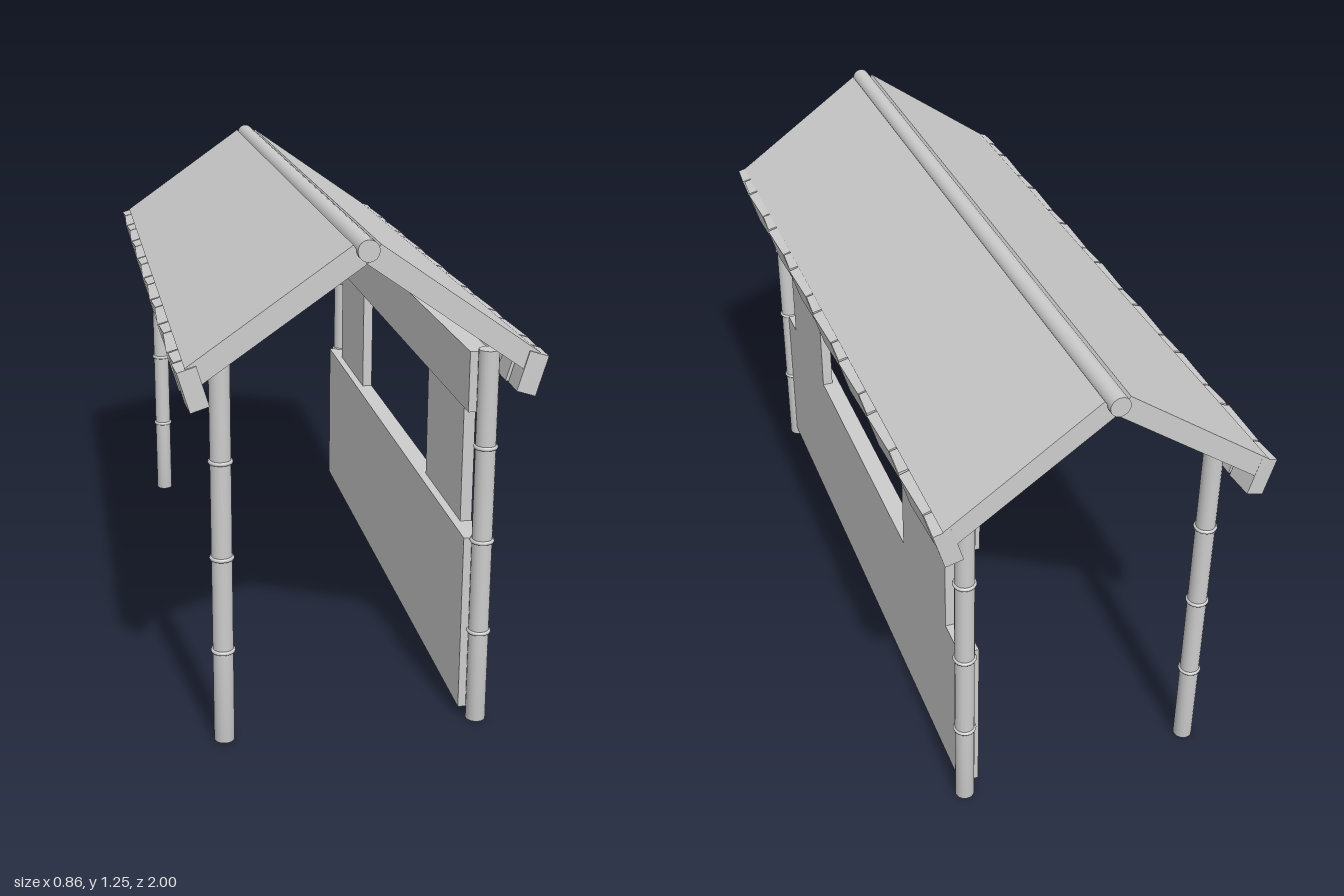
import * as THREE from 'three';

export function createModel() {
  const model = new THREE.Group();
  model.name = 'shelter';
  const grey = new THREE.MeshStandardMaterial({ color: 0xcccccc });
  grey.name = 'plain grey';

  function add(name, geometry, x, y, z, parent = model) {
    const mesh = new THREE.Mesh(geometry, grey);
    mesh.name = name;
    mesh.position.set(x, y, z);
    parent.add(mesh);
    return mesh;
  }
  const box = (name, x0, x1, y0, y1, z0, z1, parent) =>
    add(name, new THREE.BoxGeometry(x1 - x0, y1 - y0, z1 - z0),
      (x0 + x1) / 2, (y0 + y1) / 2, (z0 + z1) / 2, parent);

  // Bamboo posts: rounded foot section, plain shaft and three node rings
  const R = 0.025;
  const foot = new THREE.LatheGeometry(
    [[0, 0], [R, 0], [R, 0.24]].map(p => new THREE.Vector2(...p)), 20);
  const shaft = new THREE.CylinderGeometry(R, R, 0.72, 20);
  const ring = new THREE.TorusGeometry(R, 0.005, 8, 20).rotateX(Math.PI / 2);
  for (const x of [-0.317, 0.317]) {
    for (const z of [-0.877, 0.877]) {
      const post = new THREE.Group();
      post.name = 'post';
      post.position.set(x, 0, z);
      model.add(post);
      add('postFoot', foot, 0, 0, 0, post);
      add('postShaft', shaft, 0, 0.6, 0, post);
      for (const y of [0.24, 0.48, 0.72]) add('postNode', ring, 0, y, 0, post);
    }
  }

  // Side wall: lower panels, window piers and upper band
  const wall = new THREE.Group();
  wall.name = 'sideWall';
  model.add(wall);
  const inner = 0.275, outer = 0.325;
  box('upperBand', inner, outer, 0.803, 0.952, -0.865, 0.865, wall);
  for (const s of [-1, 1]) {
    const span = (a, b) => s > 0 ? [a, b] : [-b, -a];
    box('lowerPanel', inner, outer, 0.025, 0.482, ...span(0, 0.865), wall);
    box('windowPier', 0.296, outer, 0.482, 0.803, ...span(0.41, 0.757), wall);
  }

  // Roof slabs, squared off at right angles to the slope
  const slope = [[0, 1.195], [0.374, 0.934], [0.405, 0.977], [0.031, 1.239]];
  for (const s of [-1, 1]) {
    const shape = new THREE.Shape(slope.map(([x, y]) => new THREE.Vector2(s * x, y)));
    add('roofSlab', new THREE.ExtrudeGeometry(shape, { depth: 1.965, bevelEnabled: false }), 0, 0, -0.983);
  }

  // Ridge pole
  add('ridgePole', new THREE.CylinderGeometry(R, R, 2, 24).rotateX(Math.PI / 2), 0, 1.228, 0);

  // Eaves: alternating wide and narrow boards, slightly turned
  const wide = 0.166, narrow = 0.092, gap = 0.006;
  for (const s of [-1, 1]) {
    const eaves = new THREE.Group();
    eaves.name = s > 0 ? 'leftEaves' : 'rightEaves';
    eaves.position.set(s * 0.3915, 0.9275, 0);
    eaves.rotation.z = -s * 0.29;
    model.add(eaves);
    let z = -0.985;
    for (let i = 0; i < 16; i++) {
      const isWide = i % 2 === 1 && i < 15;
      const length = i === 0 || i === 15 ? 0.085 : isWide ? wide : narrow;
      const board = add('eavesBoard', new THREE.BoxGeometry(0.046, 0.098, length - gap),
        isWide ? 0 : -s * 0.002, 0, z + length / 2, eaves);
      board.rotation.y = s * (isWide ? 0.04 : -0.06);
      z += length;
    }
  }

  return model;
}
